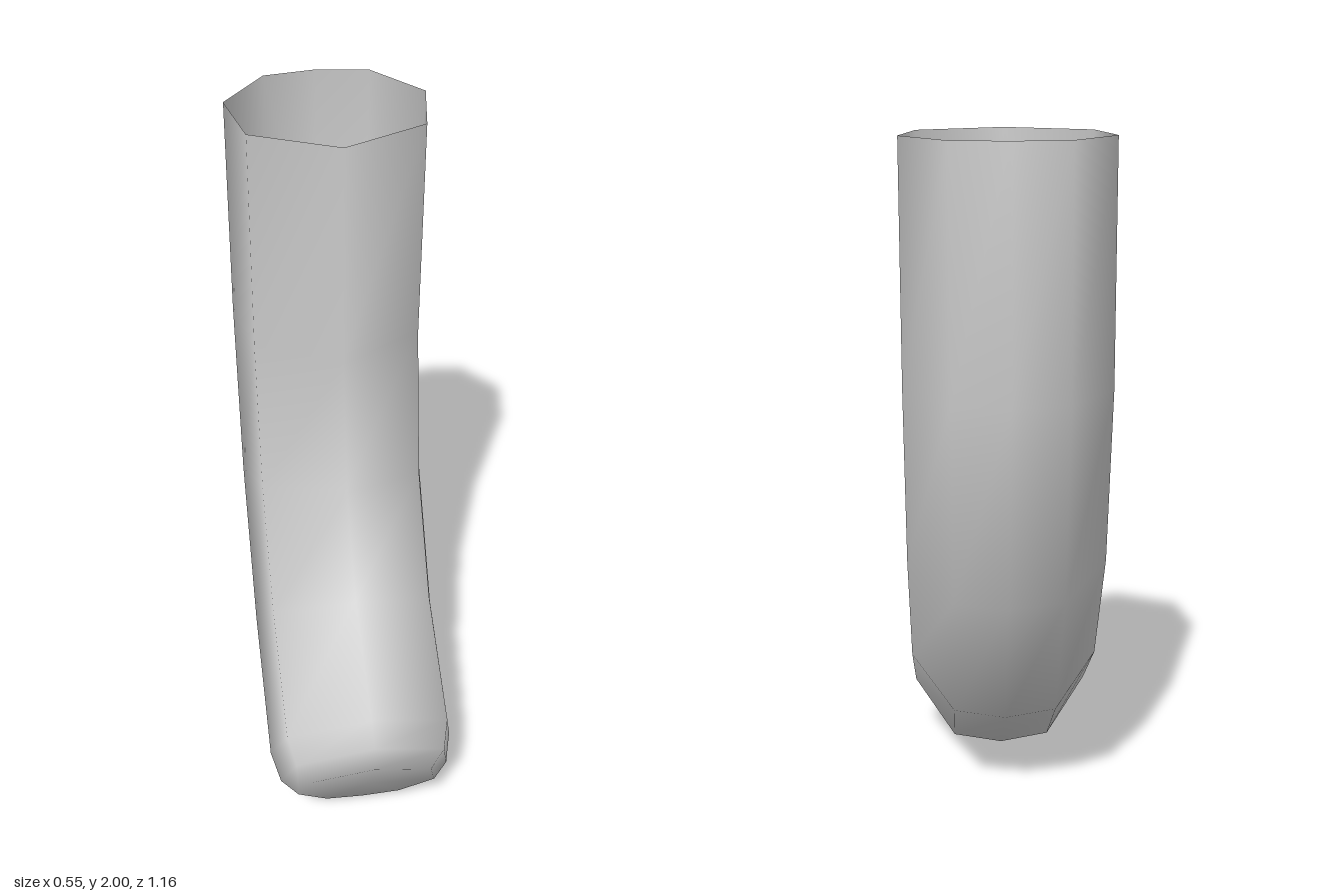
import * as THREE from 'three';

// Each ring: front edge (z, y), back edge (z, y), width scale
const RINGS = [
  [0.005, 2.0, -0.537, 2.0, 1],
  [-0.012, 1.36, -0.58, 1.36, 1],
  [0.06, 0.965, -0.455, 0.78, 1],
  [0.24, 0.70, -0.145, 0.31, 1],
  [0.53, 0.51, 0.225, 0.04, 1],
  [0.58, 0.445, 0.31, 0.003, 0.92],
  [0.58, 0.36, 0.385, 0.03, 0.75],
];

// Eight-sided cross-section: x, and fraction from front edge to back edge
const HALF = [[0.235, 0.22], [0.275, 0.63], [0.15, 0.955]];
const SECTION = [
  [0, 0], ...HALF, [0, 1],
  ...HALF.map(([x, t]) => [-x, t]).reverse(),
];

// Bent tube, open at the top and closed by a bevelled lower end
function bentTubeGeometry() {
  const n = SECTION.length;
  const positions = [];
  const indices = [];
  for (const [fz, fy, bz, by, w] of RINGS) {
    for (const [x, t] of SECTION) {
      positions.push(x * w, fy + (by - fy) * t, fz + (bz - fz) * t);
    }
  }
  for (let r = 0; r < RINGS.length - 1; r++) {
    for (let i = 0; i < n; i++) {
      const a = r * n + i;
      const b = r * n + (i + 1) % n;
      indices.push(a, a + n, b, b, a + n, b + n);
    }
  }
  // Flat end face as a fan around its middle
  const last = RINGS.length - 1;
  const [fz, fy, bz, by] = RINGS[last];
  const centre = positions.length / 3;
  positions.push(0, (fy + by) / 2, (fz + bz) / 2);
  for (let i = 0; i < n; i++) {
    indices.push(last * n + i, centre, last * n + (i + 1) % n);
  }
  const geometry = new THREE.BufferGeometry();
  geometry.setAttribute('position', new THREE.Float32BufferAttribute(positions, 3));
  geometry.setIndex(indices);
  geometry.computeVertexNormals();
  return geometry;
}

export function createModel() {
  const group = new THREE.Group();
  group.name = 'bentPipe';
  const grey = new THREE.MeshStandardMaterial({ color: 0xcccccc, side: THREE.DoubleSide });
  grey.name = 'light grey';
  const tube = new THREE.Mesh(bentTubeGeometry(), grey);
  tube.name = 'bentTube';
  group.add(tube);
  return group;
}
